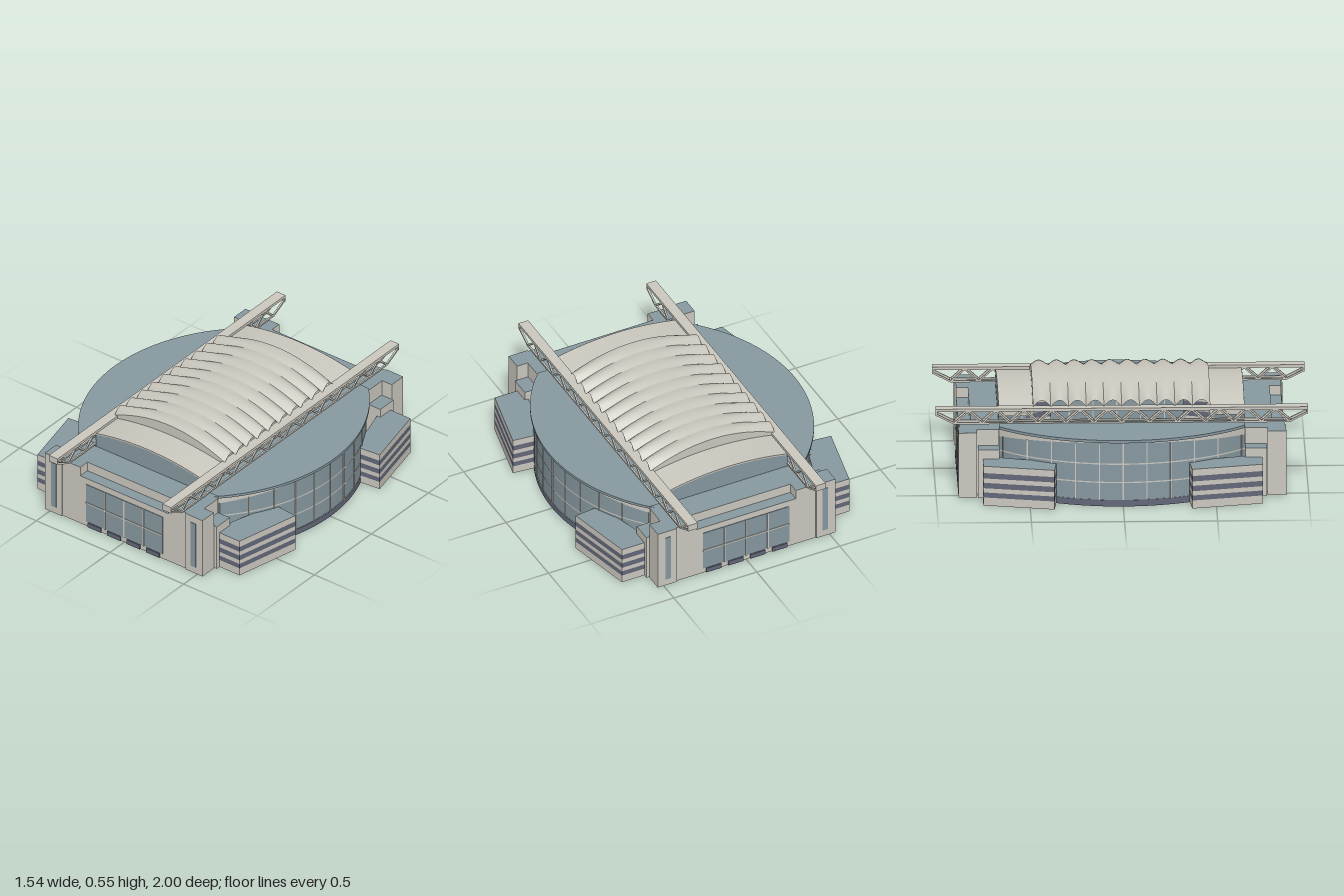
import * as THREE from 'three';

const mat = (name, color) => {
  const m = new THREE.MeshStandardMaterial({ color, side: THREE.DoubleSide });
  m.name = name;
  return m;
};

export function createModel() {
  const pale = mat('paleConcrete', 0xcbc8bf);
  const blue = mat('blueGreyRoofAndGlass', 0x8799a0);
  const dark = mat('darkBand', 0x636779);
  const model = new THREE.Group();
  const part = (name, parent = model) => {
    const g = new THREE.Group();
    g.name = name;
    parent.add(g);
    return g;
  };
  const add = (parent, name, geo, m) => {
    const mesh = new THREE.Mesh(geo, m);
    mesh.name = name;
    parent.add(mesh);
    return mesh;
  };

  // Surface from a rule f(u, v) -> [x, y, z]
  const grid = (f, nu = 1, nv = 1) => {
    const pos = [], idx = [];
    for (let i = 0; i <= nu; i++) for (let j = 0; j <= nv; j++) pos.push(...f(i / nu, j / nv));
    for (let i = 0; i < nu; i++) for (let j = 0; j < nv; j++) {
      const a = i * (nv + 1) + j, b = a + nv + 1;
      idx.push(a, b, b + 1, a, b + 1, a + 1);
    }
    const g = new THREE.BufferGeometry();
    g.setAttribute('position', new THREE.Float32BufferAttribute(pos, 3));
    g.setIndex(idx);
    g.computeVertexNormals();
    return g;
  };
  // Box given by its limits
  const box = (parent, name, x0, x1, y0, y1, z0, z1, m) => {
    const g = new THREE.BoxGeometry(Math.abs(x1 - x0), Math.abs(y1 - y0), Math.abs(z1 - z0));
    g.translate((x0 + x1) / 2, (y0 + y1) / 2, (z0 + z1) / 2);
    return add(parent, name, g, m);
  };
  // Bottomless building volume with a coloured roof
  const volume = (parent, name, x0, x1, h, z0, z1) => {
    const mesh = box(parent, name, x0, x1, 0, h, z0, z1, [pale, pale, blue, pale, pale, pale]);
    mesh.geometry.groups.splice(3, 1);
  };
  // Square bar between two points
  const bar = (parent, name, a, b, t, m) => {
    const p = new THREE.Vector3(...a), q = new THREE.Vector3(...b);
    const mesh = add(parent, name, new THREE.BoxGeometry(t, t, p.distanceTo(q)), m);
    mesh.position.copy(p).lerp(q, 0.5);
    mesh.lookAt(q);
  };

  // End blocks, front and back
  for (const s of [1, -1]) {
    const end = part(s > 0 ? 'frontBlock' : 'backBlock');
    volume(end, 'rearVolume', -0.47, 0.47, 0.36, s * 0.66, s * 0.81);
    volume(end, 'entranceLedge', -0.3, 0.3, 0.305, s * 0.81, s * 0.873);
    for (const k of [1, -1]) {
      volume(end, 'shoulder', k * 0.3, k * 0.42, 0.36, s * 0.81, s * 0.873);
      volume(end, 'tower', k * 0.42, k * 0.535, 0.36, s * 0.78, s * 0.88);
      volume(end, 'stairBox', k * 0.47, k * 0.55, 0.27, s * 0.66, s * 0.775);
      box(end, 'towerWindow', k * 0.457, k * 0.49, 0.04, 0.32, s * 0.879, s * 0.883, blue);
    }
    box(end, 'entranceGlass', -0.26, 0.26, 0.03, 0.268, s * 0.872, s * 0.876, blue);
    for (const x of [-0.13, 0, 0.13])
      box(end, 'mullion', x - 0.004, x + 0.004, 0.03, 0.268, s * 0.873, s * 0.879, pale);
    box(end, 'transom', -0.26, 0.26, 0.146, 0.154, s * 0.873, s * 0.879, pale);
    for (const x of [-0.2, -0.068, 0.064, 0.196])
      box(end, 'door', x - 0.045, x + 0.045, 0, 0.027, s * 0.872, s * 0.88, dark);
  }

  // Curved side stands: arc in plan, x at a given z
  const arcX = (z, inset = 0) => -0.202 + Math.sqrt((0.942 - inset) ** 2 - z * z);
  const glassTop = (z) => 0.355 - 0.04 * (z / 0.66) ** 2;
  const Z = 0.66;
  for (const s of [1, -1]) {
    const side = part(s > 0 ? 'leftStand' : 'rightStand');
    const band = (name, inset, lo, hi, m) =>
      add(side, name, grid((u, v) => {
        const z = (u * 2 - 1) * Z, a = lo(z), b = hi(z);
        return [s * arcX(z, inset), a + (b - a) * v, z];
      }, 48), m);
    band('plinth', 0.018, () => 0, () => 0.036, dark);
    band('glassWall', 0.02, () => 0.036, glassTop, blue);
    band('fascia', 0.018, glassTop, () => 0.362, pale);
    band('transom', 0.017, () => 0.131, () => 0.138, pale);
    band('transom', 0.017, () => 0.234, () => 0.241, pale);
    for (let i = -5; i <= 5; i++) {
      const z = i * 0.128, x = s * arcX(z, 0.019);
      box(side, 'mullion', x - 0.003, x + 0.003, 0.036, glassTop(z), z - 0.003, z + 0.003, pale);
    }
    // thin flat roof with its rim
    for (const y of [0.36, 0.375])
      add(side, 'standRoof', grid((u, v) => {
        const z = (u * 2 - 1) * Z;
        return [s * (0.37 + (arcX(z) - 0.37) * v), y, z];
      }, 48), blue);
    band('roofRim', 0, () => 0.36, () => 0.375, blue);
    add(side, 'innerRim', grid((u, v) => [s * 0.37, 0.36 + 0.015 * v, (u * 2 - 1) * Z]), blue);
  }

  // Striped corner wings
  const plan = [[0.77, 0.37], [0.685, 0.75], [0.5, 0.75], [0.62, 0.355]];
  const levels = [0, 0.045, 0.073, 0.097, 0.127, 0.152, 0.182, 0.22];
  for (const sx of [1, -1]) for (const sz of [1, -1]) {
    const wing = part('cornerWing');
    plan.forEach((p, i) => {
      const q = plan[(i + 1) % 4];
      for (let k = 0; k < 7; k++)
        add(wing, k % 2 ? 'darkStripe' : 'wallBand', grid((u, v) => [
          sx * (p[0] + (q[0] - p[0]) * u),
          levels[k] + (levels[k + 1] - levels[k]) * v,
          sz * (p[1] + (q[1] - p[1]) * u)]), k % 2 ? dark : pale);
    });
    add(wing, 'wingRoof', grid((u, v) => {
      const at = (c) => (plan[0][c] * (1 - u) + plan[1][c] * u) * (1 - v)
        + (plan[3][c] * (1 - u) + plan[2][c] * u) * v;
      return [sx * at(0), 0.22, sz * at(1)];
    }), blue);
  }

  // Lower arched roofs with glazed gables
  const lowY = (x) => 0.482 - 0.04 * (x / 0.36) ** 2;
  const topY = (x) => 0.546 - 0.055 * (x / 0.375) ** 2;
  const dip = (x) => 0.004 + 0.032 * (x / 0.375) ** 2;
  for (const s of [1, -1]) {
    const arch = part(s > 0 ? 'frontArchRoof' : 'backArchRoof');
    const strip = (name, w, f, m) =>
      add(arch, name, grid((u, v) => f((u * 2 - 1) * w, v), 32), m);
    strip('archRoof', 0.36, (x, v) => [x, lowY(x), s * (0.46 + 0.2 * v)], pale);
    strip('roofEdge', 0.36, (x, v) => [x, lowY(x) - 0.008 * v, s * 0.661], pale);
    strip('gableGlass', 0.36, (x, v) => [x, 0.355 + (lowY(x) - 0.355) * v, s * 0.659], blue);
    strip('upperRoofEnd', 0.375, (x, v) => {
      const lo = lowY(x) - 0.003, hi = topY(x) - dip(x);
      return [x, lo + (hi - lo) * v, s * 0.476];
    }, pale);
    for (const k of [1, -1])
      add(arch, 'roofSide', grid((u, v) => [k * 0.36, 0.4 + 0.042 * v, s * (0.47 + 0.19 * u)]), pale);
  }

  // Ribbed upper roof: ten scallops, deepest at the eaves
  const ribs = part('ribbedRoof');
  const step = 0.952 / 10;
  for (let i = 0; i < 10; i++)
    add(ribs, 'roofRib', grid((u, v) => {
      const x = (u * 2 - 1) * 0.375;
      return [x, topY(x) - dip(x) * (1 - Math.sin(Math.PI * v)), -0.476 + (i + v) * step];
    }, 32, 10), pale);

  // Long roof trusses
  for (const s of [1, -1]) {
    const truss = part(s > 0 ? 'leftTruss' : 'rightTruss');
    box(truss, 'topChord', s * 0.356, s * 0.414, 0.442, 0.458, -1, 1, pale);
    for (const e of [1, -1])
      box(truss, 'endPlate', s * 0.356, s * 0.414, 0.42, 0.458, e * 0.99, e, pale);
    for (const x of [s * 0.362, s * 0.408]) {
      bar(truss, 'bottomChord', [x, 0.377, -0.9], [x, 0.377, 0.9], 0.01, pale);
      for (const e of [1, -1])
        bar(truss, 'endBrace', [x, 0.377, e * 0.9], [x, 0.425, e * 0.995], 0.01, pale);
      for (let i = 0; i < 12; i++) {
        const z = -0.9 + i * 0.15;
        bar(truss, 'diagonal', [x, 0.377, z], [x, 0.445, z + 0.075], 0.009, pale);
        bar(truss, 'diagonal', [x, 0.445, z + 0.075], [x, 0.377, z + 0.15], 0.009, pale);
      }
    }
    for (let i = 0; i <= 12; i++) {
      const z = -0.9 + i * 0.15;
      bar(truss, 'crossTie', [s * 0.362, 0.377, z], [s * 0.408, 0.377, z], 0.009, pale);
    }
  }
  return model;
}
